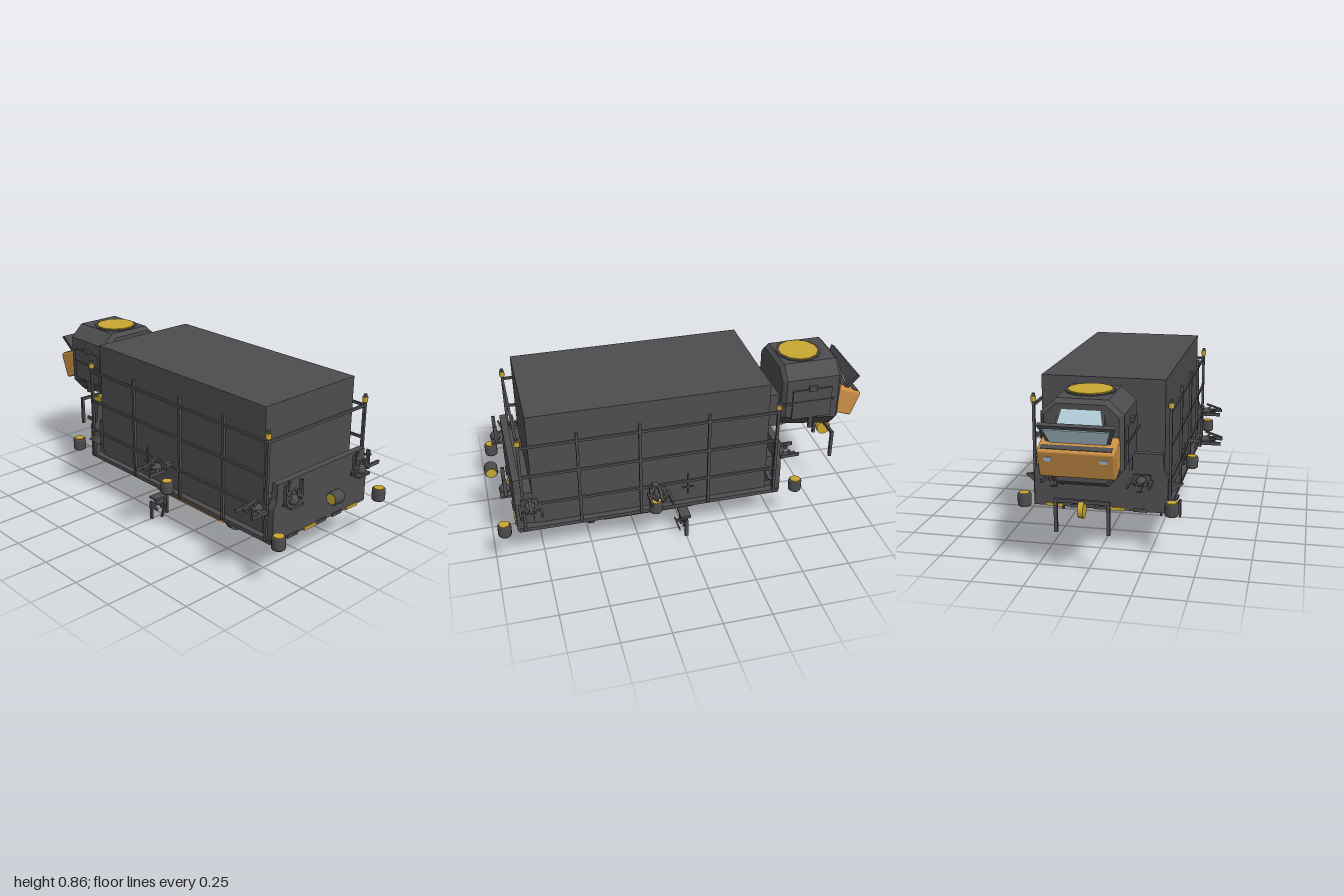
import * as THREE from 'three';
import { RoundedBoxGeometry } from 'three/addons/geometries/RoundedBoxGeometry.js';

const mat = (name, color) => {
  const m = new THREE.MeshStandardMaterial({ color });
  m.name = name;
  return m;
};

export function createModel() {
  const grey = mat('dark grey', 0x4d4d50);
  const yellow = mat('yellow', 0xc8a832);
  const orange = mat('orange', 0xcc9046);
  const glass = mat('pale glass', 0xb8d2de);
  const model = new THREE.Group();
  model.name = 'cargoHauler';

  const add = (name, geo, m, x = 0, y = 0, z = 0, parent = model) => {
    const mesh = new THREE.Mesh(geo, m);
    mesh.name = name;
    mesh.position.set(x, y, z);
    parent.add(mesh);
    return mesh;
  };
  const box = (name, w, h, d, x, y, z, m = grey, parent = model) =>
    add(name, new THREE.BoxGeometry(w, h, d), m, x, y, z, parent);
  // Straight bar of square section between two points
  const bar = (name, a, b, w, d, parent = model) => {
    const p = new THREE.Vector3(...a), q = new THREE.Vector3(...b);
    const mesh = box(name, w, p.distanceTo(q), d, 0, 0, 0, grey, parent);
    mesh.position.copy(p).add(q).multiplyScalar(0.5);
    mesh.quaternion.setFromUnitVectors(new THREE.Vector3(0, 1, 0), q.sub(p).normalize());
    return mesh;
  };
  const plate = (pts, depth, bevel = 0) => new THREE.ExtrudeGeometry(
    new THREE.Shape(pts.map(p => new THREE.Vector2(...p))),
    { depth, bevelEnabled: bevel > 0, bevelSize: bevel, bevelThickness: bevel, bevelOffset: -bevel, bevelSegments: 1 });
  const cyl = (r, h, n = 20) => new THREE.CylinderGeometry(r, r, h, n);

  // Container body, floor and end panels
  box('container', 0.614, 0.64, 1.225, 0, 0.54, 0.178);
  box('floor', 0.68, 0.02, 1.37, 0, 0.22, 0.185);
  const endShape = [[-0.335, 0.215], [0.335, 0.215], [0.335, 0.39], [0.315, 0.43], [0.31, 0.51],
    [-0.31, 0.51], [-0.315, 0.43], [-0.335, 0.39]];
  add('frontPanel', plate(endShape, 0.035), grey, 0, 0, 0.845);
  add('backPanel', plate(endShape, 0.035), grey, 0, 0, -0.505);
  box('frontFill', 0.6, 0.2, 0.07, 0, 0.32, 0.82);
  box('backFill', 0.6, 0.2, 0.06, 0, 0.32, -0.45);
  for (const z of [0.878, -0.502]) for (const [x, m] of [[-0.078, yellow], [0.232, yellow], [0, grey], [0.12, grey], [-0.2, grey]])
    box('edgeStrip', m === yellow ? 0.085 : 0.07, 0.016, 0.016, x, 0.218, z, m);

  // Railings with corner lamps
  for (const s of [-1, 1]) {
    for (const z of [0.84, 0.555, 0.245, -0.11, -0.47])
      box('railPost', 0.014, 0.54, 0.014, s * 0.34, 0.49, z);
    for (const y of [0.375, 0.545, 0.715])
      box('sideRail', 0.011, 0.013, 1.31, s * 0.34, y, 0.185);
    for (const z of [0.84, -0.47]) {
      add('cornerLamp', cyl(0.014, 0.026, 12), yellow, s * 0.34, 0.746, z);
      add('lampCap', cyl(0.009, 0.016, 12), grey, s * 0.34, 0.765, z);
    }
    // Side brackets
    const tri = [[0.33, 0.355], [0.4, 0.345], [0.34, 0.295]].map(([x, y]) => [s * x, y]);
    add('sideGusset', plate(tri, 0.02), grey, 0, 0, -0.44);
    bar('sideStrut', [s * 0.345, 0.3, 0], [s * 0.345, 0.42, 0], 0.008, 0.008);
    bar('sideStrut', [s * 0.345, 0.34, 0.03], [s * 0.345, 0.34, -0.03], 0.008, 0.008);
  }
  box('frontRail', 0.68, 0.014, 0.012, 0, 0.715, 0.84);

  // Thruster pods: dark sleeve around a yellow core
  const pod = (x, y, z, sideways) => {
    const g = new THREE.Group();
    g.name = 'thrusterPod';
    add('podSleeve', new THREE.LatheGeometry([[0.026, -0.031], [0.031, -0.031], [0.034, -0.026],
      [0.034, 0.026], [0.031, 0.031], [0.026, 0.031]].map(p => new THREE.Vector2(...p)), 16), grey, 0, 0, 0, g);
    add('podCore', cyl(0.026, 0.07, 16), yellow, 0, 0, 0, g);
    g.position.set(x, y, z);
    if (sideways) g.rotation.z = Math.PI / 2;
    model.add(g);
  };
  for (const s of [-1, 1]) for (const z of [0.945, 0.175, -0.58]) pod(s * 0.365, 0.265, z, false);
  pod(-0.003, 0.378, 0.967, true);

  // Grabber claw: reaches along local +y, middle finger on local +z
  const claw = (pos, axis, side) => {
    const g = new THREE.Group();
    g.name = 'grabberClaw';
    box('clawPlate', 0.085, 0.012, 0.055, 0, 0, 0, grey, g);
    add('clawBall', new THREE.SphereGeometry(0.027, 14, 10), grey, 0, 0.024, 0, g);
    for (const s of [-1, 1]) {
      bar('clawKnuckle', [s * 0.015, 0.075, 0], [s * 0.046, 0.025, 0], 0.012, 0.016, g);
      bar('clawArm', [s * 0.012, 0.03, 0], [s * 0.05, 0.055, 0], 0.012, 0.016, g);
      bar('clawFinger', [s * 0.052, 0.012, 0], [s * 0.052, 0.113, 0], 0.011, 0.018, g);
    }
    bar('clawArm', [0, 0.03, 0.01], [0, 0.05, 0.04], 0.012, 0.012, g);
    bar('middleFinger', [0, 0.025, 0.05], [0, 0.112, 0.022], 0.014, 0.009, g);
    const y = new THREE.Vector3(...axis), z = new THREE.Vector3(...side);
    g.quaternion.setFromRotationMatrix(new THREE.Matrix4().makeBasis(y.clone().cross(z), y, z));
    g.position.set(...pos);
    model.add(g);
  };
  for (const s of [-1, 1]) {
    claw([s * 0.275, 0.115, 0], [0, -1, 0], [0, 0, 1]);
    claw([s * 0.41, 0.392, 0.175], [s, 0, 0], [0, 1, 0]);
    claw([s * 0.345, 0.385, 0.81], [s, 0, 0], [0, 1, 0]);
    claw([s * 0.243, 0.403, 0.915], [0, 1, 0], [0, 0, -1]);
    claw([s * 0.21, 0.38, -0.52], [0, 0, -1], [0, -1, 0]);
    box('clawMount', 0.07, 0.022, 0.03, s * 0.375, 0.388, 0.175);
  }

  // Tanks under the floor
  for (const s of [-1, 1]) {
    const x = s * 0.17;
    add('tank', cyl(0.07, 0.485, 24), orange, x, 0.158, 0.178).rotation.x = Math.PI / 2;
    add('tankEndDisc', cyl(0.074, 0.03, 24), grey, x, 0.155, 0.49).rotation.x = Math.PI / 2;
    for (const z of [0.355, 0.045]) box('tankClamp', 0.156, 0.03, 0.024, x, 0.153, z);
  }

  // Cabin: chamfered block whose underside drops towards the back
  box('neck', 0.27, 0.19, 0.16, 0, 0.59, -0.5);
  const cabin = plate([[-0.19, 0.535], [-0.12, 0.455], [0.12, 0.455], [0.19, 0.535],
    [0.19, 0.79], [0.12, 0.855], [-0.12, 0.855], [-0.19, 0.79]], 0.285, 0.02);
  const p = cabin.attributes.position;
  for (let i = 0; i < p.count; i++)
    if (p.getY(i) < 0.6) p.setY(i, p.getY(i) + 0.04 * Math.max(0, p.getZ(i)) / 0.3);
  cabin.computeVertexNormals();
  add('cabin', cabin, grey, 0, 0, -0.855);
  add('hatchRim', cyl(0.118, 0.02, 12), grey, 0, 0.85, -0.69).rotation.y = Math.PI / 12;
  add('hatch', cyl(0.106, 0.02, 12), yellow, 0, 0.855, -0.69).rotation.y = Math.PI / 12;
  for (const s of [-1, 1]) {
    box('cabinSidePanel', 0.014, 0.17, 0.215, s * 0.193, 0.645, -0.71);
    box('cabinHandle', 0.03, 0.025, 0.045, s * 0.192, 0.735, -0.71);
    box('cabinSideArm', 0.014, 0.07, 0.02, s * 0.193, 0.53, -0.71);
    bar('cabinSideRail', [s * 0.2, 0.66, -0.83], [s * 0.2, 0.66, -0.54], 0.01, 0.01);
  }

  // Windshield with its sloping frame, and the leaning visor in front of it
  const leaning = (name, wBottom, wTop, h, depth, m, y, z, tilt, inset = 0) => {
    const g = plate([[-wBottom, 0], [wBottom, 0], [wTop, h], [-wTop, h]], depth).translate(0, inset, inset ? -0.006 : 0);
    add(name, g, m, 0, y, z).rotation.x = tilt;
  };
  leaning('windshieldFrame', 0.125, 0.1, 0.14, 0.05, grey, 0.69, -0.925, 0.43);
  leaning('windshield', 0.115, 0.09, 0.12, 0.006, glass, 0.69, -0.928, 0.43, 0.01);
  leaning('visor', 0.12, 0.175, 0.168, 0.02, grey, 0.61, -0.9, -0.49);
  leaning('visorGlass', 0.11, 0.15, 0.135, 0.006, glass, 0.61, -0.9, -0.49, 0.015);

  // Tilted nose with headlights
  const nose = new THREE.Group();
  nose.name = 'nose';
  nose.position.set(0, 0.607, -0.914);
  nose.rotation.x = -0.36;
  model.add(nose);
  add('noseShell', new RoundedBoxGeometry(0.35, 0.145, 0.132, 1, 0.012), orange, 0, 0, 0, nose);
  box('noseTrim', 0.32, 0.006, 0.03, 0, 0.072, -0.035, grey, nose);
  for (const s of [-1, 1])
    box('headlight', 0.035, 0.022, 0.006, s * 0.125, 0.03, -0.066, glass, nose);

  // Tow frame with disc behind the body
  box('towBar', 0.26, 0.016, 0.016, 0, 0.385, -0.88);
  for (const s of [-1, 1]) box('towLeg', 0.016, 0.155, 0.016, s * 0.122, 0.31, -0.88);
  add('towDisc', cyl(0.04, 0.025, 20), yellow, 0, 0.348, -0.88).rotation.z = Math.PI / 2;

  return model;
}
